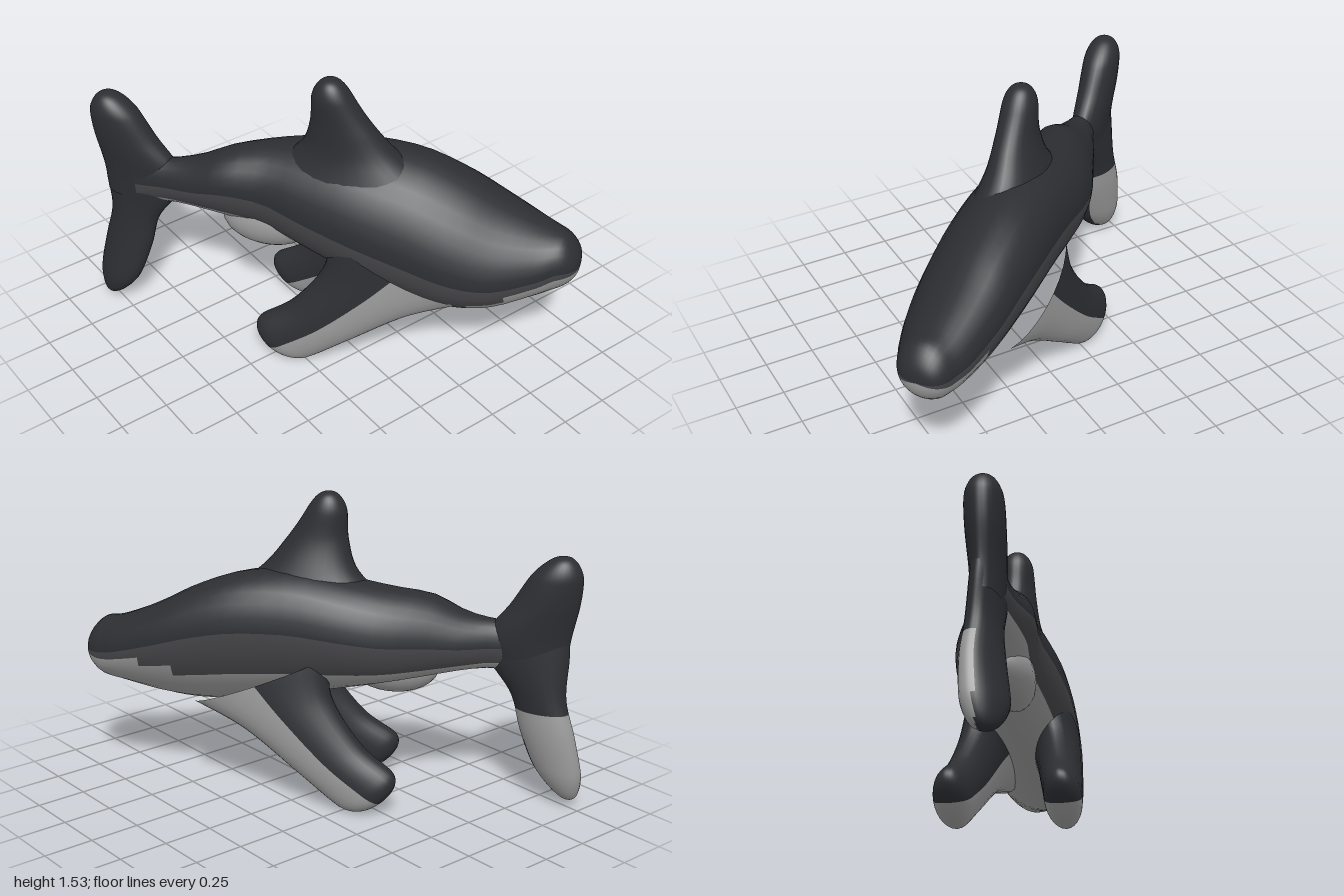
import * as THREE from 'three';

const DARK = 0x2c2e32, MID = 0x454548, PALE = 0x9b9b9b;
const SIDES = 28, RINGS = 44;

// Smooth loft through elliptical sections [centre xyz, semi-axis A xyz, semi-axis B xyz].
// The last section is the apex of a rounded end. zone(angle, point) returns a colour.
function loft(name, rows, zone) {
  const last = rows.length - 1;
  const sample = (t) => {
    const f = Math.min(t * last, last - 1e-6), i = Math.floor(f), k = f - i;
    const row = (j) => rows[Math.max(0, Math.min(last, j))];
    const v = row(i).map((p1, c) => {
      const p0 = row(i - 1)[c], p2 = row(i + 1)[c], p3 = row(i + 2)[c];
      return p1 + 0.5 * k * (p2 - p0 + k * (2 * p0 - 5 * p1 + 4 * p2 - p3 + k * (3 * (p1 - p2) + p3 - p0)));
    });
    const cap = i === last - 1 ? Math.sqrt(Math.max(0, 1 - k * k)) : 1;
    return {
      c: new THREE.Vector3(...v.slice(0, 3)),
      a: new THREE.Vector3(...v.slice(3, 6)).multiplyScalar(cap),
      b: new THREE.Vector3(...v.slice(6, 9)).multiplyScalar(cap),
    };
  };

  // keep the faces outward whichever way the sections run
  const s0 = sample(0), s1 = sample(0.5);
  const flip = s0.a.clone().cross(s0.b).dot(s1.c.clone().sub(s0.c)) < 0 ? -1 : 1;

  const positions = [], byColour = new Map();
  for (let i = 0; i <= RINGS; i++) {
    const { c, a, b } = sample(Math.sin((i / RINGS) * Math.PI / 2));
    for (let j = 0; j < SIDES; j++) {
      const ang = (j / SIDES) * Math.PI * 2;
      const p = c.clone().addScaledVector(a, Math.cos(ang)).addScaledVector(b, Math.sin(ang) * flip);
      positions.push(p.x, p.y, p.z);
    }
  }
  const all = [];
  for (let i = 0; i < RINGS; i++) {
    for (let j = 0; j < SIDES; j++) {
      const n = (j + 1) % SIDES;
      const p = i * SIDES + j, q = i * SIDES + n, r = p + SIDES, s = q + SIDES;
      const quad = [p, q, r, q, s, r];
      const point = new THREE.Vector3().fromArray(positions, p * 3);
      const colour = zone(((j + 0.5) / SIDES) * Math.PI * 2, point);
      if (!byColour.has(colour)) byColour.set(colour, []);
      byColour.get(colour).push(...quad);
      all.push(...quad);
    }
  }
  const base = new THREE.BufferGeometry();
  base.setAttribute('position', new THREE.Float32BufferAttribute(positions, 3));
  base.setIndex(all);
  base.computeVertexNormals();

  // one mesh per colour, sharing normals so the skin stays smooth
  const group = new THREE.Group();
  group.name = name;
  for (const [color, index] of byColour) {
    const g = new THREE.BufferGeometry();
    g.setAttribute('position', base.attributes.position);
    g.setAttribute('normal', base.attributes.normal);
    g.setIndex(index);
    const mesh = new THREE.Mesh(g, new THREE.MeshStandardMaterial({ color }));
    mesh.name = name + (color === PALE ? 'Pale' : color === MID ? 'Band' : 'Dark');
    group.add(mesh);
  }
  return group;
}

// Fin from rows [lead z, lead y, trail z, trail y, sideways x, half thickness, twist]
function fin(name, rows, zone) {
  return loft(name, rows.map(([lz, ly, tz, ty, x, th, twist = 0]) => [
    x, (ly + ty) / 2, (lz + tz) / 2,
    -twist, (ly - ty) / 2, (lz - tz) / 2,
    th, 0, 0,
  ]), zone);
}

export function createModel() {
  const model = new THREE.Group();
  model.name = 'shark';
  const swim = new THREE.Group();
  swim.name = 'sharkBody';
  swim.rotation.y = Math.atan2(0.6, 0.8); // swims along a diagonal
  model.add(swim);
  const dark = () => DARK;

  // torso, tail stalk to snout: [z, centre x, half width, bottom, top, sideways roll]
  const torso = [
    [-0.98, -0.07, 0.06, 0.66, 0.93, 0],
    [-0.82, -0.06, 0.08, 0.69, 0.935, 0],
    [-0.66, -0.04, 0.13, 0.68, 0.97, -0.01],
    [-0.5, -0.02, 0.17, 0.65, 1.045, -0.02],
    [-0.3, 0.02, 0.205, 0.61, 1.085, -0.01],
    [-0.1, 0.015, 0.245, 0.56, 1.12, 0.02],
    [0.15, 0, 0.27, 0.50, 1.15, 0.06],
    [0.42, 0, 0.28, 0.455, 1.12, 0.09],
    [0.65, 0, 0.272, 0.43, 1.035, 0.1],
    [0.85, 0.01, 0.245, 0.45, 0.935, 0.08],
    [1.05, 0.03, 0.185, 0.505, 0.86, 0.03],
    [1.15, 0.035, 0.14, 0.535, 0.84, 0],
    [1.245, 0.04, 0.12, 0.58, 0.79, 0],
  ].map(([z, x, w, lo, hi, roll]) => [x, (lo + hi) / 2, z, w, roll, 0, 0, (hi - lo) / 2, 0]);
  swim.add(loft('torso', torso, (a, p) => {
    const s = Math.sin(a);
    const paleLine = -0.6 + 0.45 * THREE.MathUtils.smoothstep(p.z, 0.6, 1.15);
    return s < paleLine ? PALE : s < -0.1 ? MID : DARK;
  }));

  // dorsal fin with a broad flared foot
  swim.add(fin('dorsalFin', [
    [0.58, 0.98, -0.32, 0.98, 0, 0.19],
    [0.35, 1.14, -0.145, 1.14, -0.005, 0.13],
    [0.22, 1.29, -0.09, 1.29, -0.02, 0.095],
    [0.125, 1.43, -0.08, 1.43, -0.025, 0.083],
    [0.08, 1.53, -0.06, 1.53, -0.025, 0.07],
  ], dark));

  // pectoral fins hang from the flanks, swept down and back, pale along the leading half
  const pectoral = [
    [0.68, 0.47, -0.02, 0.76, 0.14, 0.14],
    [0.41, 0.36, -0.03, 0.56, 0.18, 0.115],
    [0.13, 0.165, -0.18, 0.34, 0.215, 0.1],
    [-0.08, 0.015, -0.34, 0.22, 0.238, 0.09],
    [-0.2, -0.03, -0.4, 0.15, 0.245, 0.085],
  ];
  // the right one sits a little forward and wider
  for (const [name, side, ahead] of [
    ['leftPectoralFin', 1, -0.02], ['rightPectoralFin', -1.1, 0.06],
  ]) {
    const rows = pectoral.map(([lz, ly, tz, ty, x, th]) =>
      [lz + ahead, ly, tz + ahead, ty, x * side, th]);
    swim.add(fin(name, rows, (a) => (Math.cos(a) > 0.1 ? PALE : DARK)));
  }

  // small fin bulge under the rear belly
  const bulge = new THREE.Mesh(new THREE.SphereGeometry(1, 24, 16),
    new THREE.MeshStandardMaterial({ color: PALE }));
  bulge.name = 'analFin';
  bulge.scale.set(0.11, 0.14, 0.23);
  bulge.position.set(-0.05, 0.67, -0.31);
  swim.add(bulge);

  // tail: upper and lower lobes overlap at the stalk, the lower one twisting
  swim.add(fin('upperTailLobe', [
    [-0.83, 0.70, -1.16, 0.70, -0.05, 0.07],
    [-0.76, 0.85, -1.17, 0.85, -0.05, 0.08],
    [-0.88, 1.03, -1.205, 1.03, -0.05, 0.09],
    [-0.96, 1.16, -1.215, 1.16, -0.05, 0.09],
    [-1.04, 1.27, -1.2, 1.27, -0.05, 0.077],
  ], dark));
  swim.add(fin('lowerTailLobe', [
    [-0.82, 0.90, -1.16, 0.90, -0.05, 0.07, 0],
    [-0.76, 0.77, -1.17, 0.77, -0.05, 0.075, 0.01],
    [-0.89, 0.57, -1.165, 0.57, -0.045, 0.075, 0.02],
    [-0.94, 0.38, -1.215, 0.38, -0.05, 0.085, 0.035],
    [-1.01, 0.19, -1.255, 0.19, -0.068, 0.09, 0.04],
    [-1.12, 0.025, -1.27, 0.025, -0.075, 0.08, 0.025],
  ], (a, p) => (p.y < 0.5 && p.x > -0.05 ? PALE : DARK)));

  return model;
}
